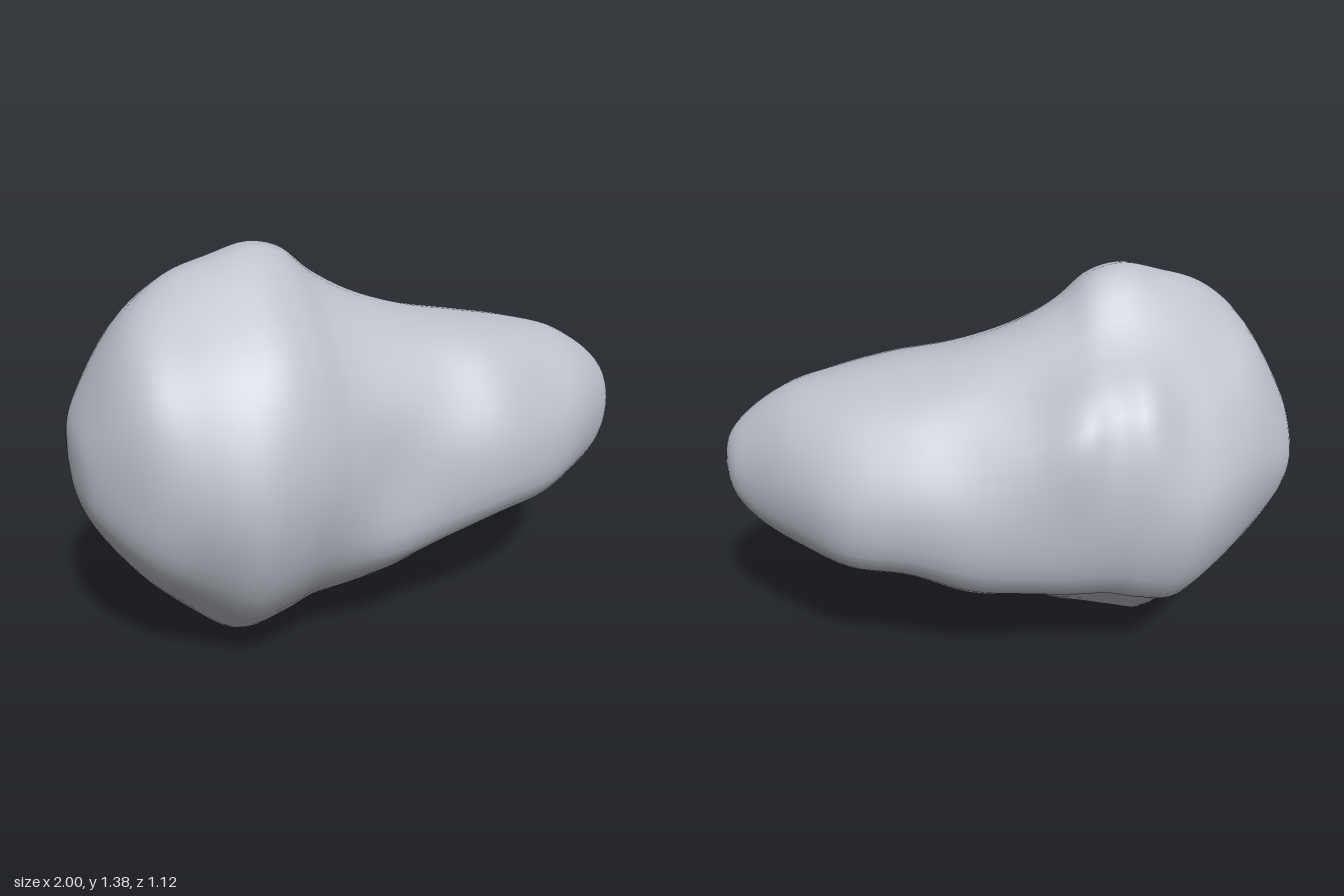
import * as THREE from 'three';
import { mergeVertices } from 'three/addons/utils/BufferGeometryUtils.js';

// Cross-section outlines: radius factor every 30 degrees, from +z over the top
const OUTLINES = {
  cap:      [1, 1, 0.98, 1, 0.94, 0.91, 0.97, 0.97, 0.96, 1, 1.01, 1.05],
  head:     [1, 0.93, 0.9, 1, 0.84, 0.86, 0.96, 0.94, 0.83, 1, 0.95, 0.98],
  crest:    [1, 0.94, 0.9, 1, 0.82, 0.92, 0.96, 0.97, 0.83, 1, 0.97, 1],
  shoulder: [0.98, 0.95, 0.93, 1, 0.87, 1.02, 0.97, 0.98, 0.86, 1, 1, 1.03],
  neck:     [0.93, 0.95, 0.97, 1, 0.9, 0.97, 0.97, 1, 0.89, 1, 1.03, 1.08],
  lobe:     [1, 0.95, 1, 1, 0.95, 0.93, 1, 1.06, 0.98, 1, 1, 1.1],
  tip:      [1, 0.97, 0.97, 1, 0.97, 0.97, 1, 1.03, 1, 1, 1.02, 1.05],
};

// Stations along the body: outline, x, top, bottom, back z, front z
const STATIONS = [
  ['cap', -0.99, 0.84, 0.6, -0.12, 0.11],
  ['cap', -0.95, 0.94, 0.49, -0.24, 0.24],
  ['cap', -0.8, 1.18, 0.28, -0.38, 0.42],
  ['head', -0.65, 1.3, 0.11, -0.5, 0.51],
  ['head', -0.5, 1.35, 0.0, -0.57, 0.56],
  ['crest', -0.37, 1.38, 0.03, -0.575, 0.535],
  ['crest', -0.26, 1.355, 0.065, -0.56, 0.5],
  ['shoulder', -0.15, 1.265, 0.1, -0.54, 0.465],
  ['neck', 0.0, 1.18, 0.155, -0.525, 0.445],
  ['lobe', 0.2, 1.115, 0.23, -0.485, 0.425],
  ['lobe', 0.4, 1.08, 0.315, -0.445, 0.43],
  ['lobe', 0.6, 1.04, 0.35, -0.385, 0.375],
  ['tip', 0.76, 0.995, 0.415, -0.26, 0.31],
  ['tip', 0.9, 0.905, 0.5, -0.125, 0.21],
  ['tip', 0.975, 0.82, 0.6, -0.04, 0.125],
];
const AROUND = 48, ALONG = 72;

// Smooth closed ring through one station's twelve points
function ring([name, x, top, bottom, back, front]) {
  const y = (top + bottom) / 2, z = (front + back) / 2;
  const points = OUTLINES[name].map((r, k) => {
    const a = (k * Math.PI) / 6;
    return new THREE.Vector3(
      x,
      y + r * Math.sin(a) * (top - bottom) / 2,
      z + r * Math.cos(a) * (front - back) / 2,
    );
  });
  const curve = new THREE.CatmullRomCurve3(points, true);
  return Array.from({ length: AROUND }, (_, j) => curve.getPoint(j / AROUND));
}

// Skin the rings with smooth lengthwise curves that meet at both ends
function rockGeometry() {
  const rings = STATIONS.map(ring);
  const leftEnd = new THREE.Vector3(-1, 0.72, 0);
  const rightEnd = new THREE.Vector3(1, 0.715, 0.045);
  const positions = [], index = [];
  const curves = Array.from({ length: AROUND }, (_, j) =>
    new THREE.CatmullRomCurve3([leftEnd, ...rings.map((r) => r[j]), rightEnd]));
  for (let i = 0; i <= ALONG; i++) {
    for (let j = 0; j < AROUND; j++) {
      const p = i === 0 ? leftEnd : i === ALONG ? rightEnd : curves[j].getPoint(i / ALONG);
      positions.push(p.x, p.y, p.z);
      if (i === ALONG) continue;
      const a = i * AROUND + j, b = i * AROUND + (j + 1) % AROUND;
      const c = a + AROUND, d = b + AROUND;
      if (i < ALONG - 1) index.push(a, c, d);
      else index.push(a, c, b);
      if (i > 0 && i < ALONG - 1) index.push(a, d, b);
    }
  }
  const geometry = new THREE.BufferGeometry();
  geometry.setAttribute('position', new THREE.Float32BufferAttribute(positions, 3));
  geometry.setIndex(index);
  const welded = mergeVertices(geometry);
  welded.computeVertexNormals();
  return welded;
}

export function createModel() {
  const group = new THREE.Group();
  group.name = 'asteroid';
  const stone = new THREE.MeshStandardMaterial({ color: 0xbcc0c9 });
  stone.name = 'grey stone';
  const rock = new THREE.Mesh(rockGeometry(), stone);
  rock.name = 'rock';
  group.add(rock);
  return group;
}
